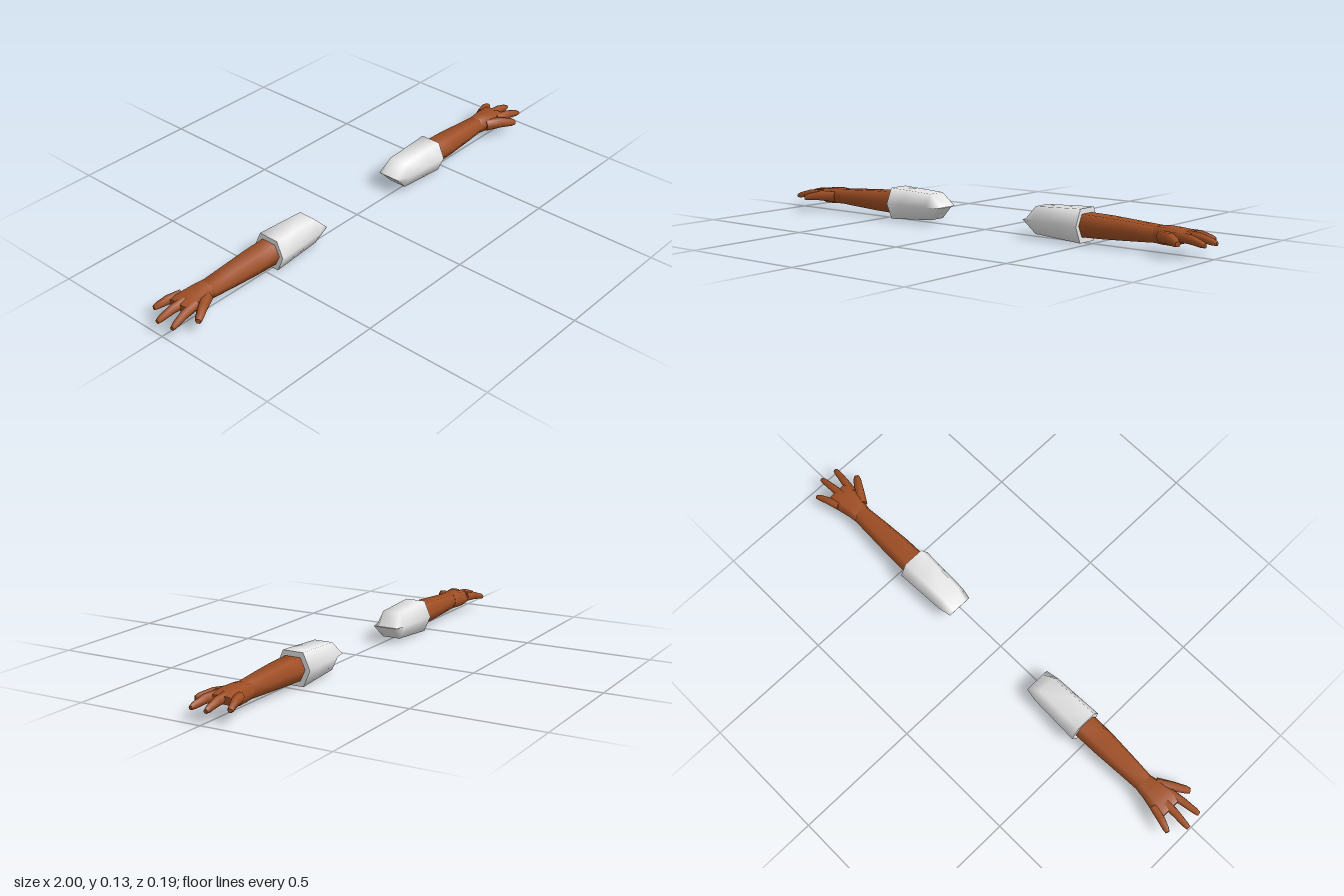
import * as THREE from 'three';

// Six-sided cross-section as [z, y]; k sets the width of the flat top and bottom
const hexagon = k => [[k, 1], [-k, 1], [-1, 0], [-k, -1], [k, -1], [1, 0]];

// Skin a row of sections [x, y, z, halfHeight, halfWidth], turned by yaw, with creased end caps
function loft(sections, side, { yaw = 0, k = 0.6 } = {}) {
  const pos = [], idx = [], n = 6;
  const ring = ([x, y, z, h, w]) => {
    for (const [pz, py] of hexagon(k)) {
      pos.push(side * (x - Math.sin(yaw) * pz * w), y + py * h, z + Math.cos(yaw) * pz * w);
    }
  };
  const tri = (a, b, c) => (side > 0 ? idx.push(a, b, c) : idx.push(a, c, b));
  sections.forEach(ring);
  for (let j = 0; j < sections.length - 1; j++) {
    for (let i = 0; i < n; i++) {
      const a = j * n + i, c = j * n + (i + 1) % n;
      tri(a, a + n, c);
      tri(c, a + n, c + n);
    }
  }
  for (const end of [0, 1]) {
    const base = pos.length / 3;
    ring(sections[end ? sections.length - 1 : 0]);
    for (let i = 1; i < n - 1; i++) {
      if (end) tri(base, base + i + 1, base + i);
      else tri(base, base + i, base + i + 1);
    }
  }
  const geo = new THREE.BufferGeometry();
  geo.setAttribute('position', new THREE.Float32BufferAttribute(pos, 3));
  geo.setIndex(idx);
  geo.computeVertexNormals();
  return geo;
}

// Sleeve: wedge-shaped shoulder end opening out to the cuff
const SLEEVE = [
  [0.21, 0.067, -0.015, 0.001, 0.052],
  [0.26, 0.067, -0.015, 0.052, 0.062],
  [0.39, 0.066, -0.015, 0.059, 0.067],
  [0.465, 0.065, -0.015, 0.063, 0.07],
];

const FOREARM = [
  [0.44, 0.066, -0.014, 0.043, 0.052],
  [0.56, 0.066, -0.014, 0.040, 0.050],
  [0.68, 0.065, -0.015, 0.034, 0.043],
  [0.79, 0.064, -0.017, 0.028, 0.036],
];

const PALM = [
  [0.765, 0.064, -0.017, 0.029, 0.038],
  [0.80, 0.064, -0.016, 0.031, 0.044],
  [0.845, 0.063, -0.014, 0.029, 0.056],
  [0.885, 0.066, -0.017, 0.021, 0.060],
  [0.905, 0.066, -0.017, 0.014, 0.054],
];

// Digits: root and tip as [x, y, z], root and tip half height, root and tip half width
const DIGITS = {
  littleFinger: { root: [0.855, 0.069, -0.056], tip: [0.955, 0.054, -0.088] },
  middleFinger: { root: [0.865, 0.072, -0.017], tip: [0.998, 0.053, -0.022] },
  indexFinger: { root: [0.86, 0.070, 0.022], tip: [0.99, 0.053, 0.044] },
  thumb: { root: [0.80, 0.062, 0.014], tip: [0.908, 0.056, 0.085], fat: 1.25 },
};

function digit({ root, tip, fat = 1 }, side) {
  const a = new THREE.Vector3(...root), b = new THREE.Vector3(...tip);
  const yaw = Math.atan2(b.z - a.z, b.x - a.x);
  const sections = [[0, 0.017, 0.018], [0.5, 0.015, 0.015], [0.88, 0.011, 0.012], [1, 0.007, 0.008]]
    .map(([t, h, w]) => {
      const p = a.clone().lerp(b, t);
      p.y += 0.006 * Math.sin(Math.PI * t); // gentle knuckle bend
      return [p.x, p.y, p.z, h * fat, w * fat];
    });
  return loft(sections, side, { yaw, k: 0.55 });
}

export function createModel() {
  const skin = new THREE.MeshStandardMaterial({ color: 0xa04f24 });
  skin.name = 'brown skin';
  const cloth = new THREE.MeshStandardMaterial({ color: 0xe8e8e8 });
  cloth.name = 'white cloth';

  const model = new THREE.Group();
  model.name = 'armPair';
  for (const side of [1, -1]) {
    const arm = new THREE.Group();
    arm.name = side > 0 ? 'leftArm' : 'rightArm';
    const add = (name, geometry, material, parent = arm) => {
      const mesh = new THREE.Mesh(geometry, material);
      mesh.name = name;
      parent.add(mesh);
    };
    add('sleeve', loft(SLEEVE, side), cloth);
    add('forearm', loft(FOREARM, side), skin);

    // Hand with spread fingers
    const hand = new THREE.Group();
    hand.name = 'hand';
    add('palm', loft(PALM, side), skin, hand);
    for (const [name, spec] of Object.entries(DIGITS)) add(name, digit(spec, side), skin, hand);
    arm.add(hand);
    model.add(arm);
  }
  return model;
}
